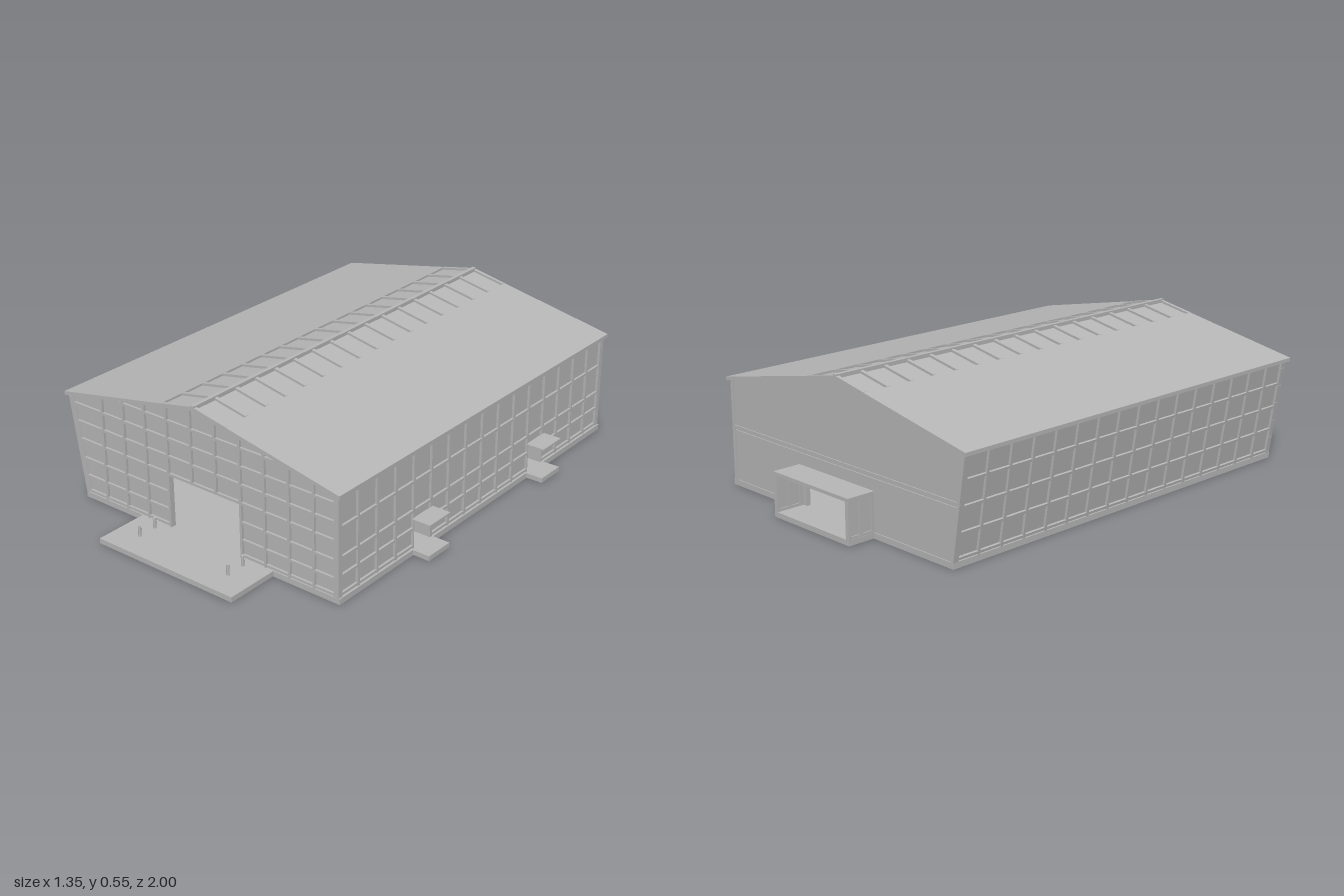
import * as THREE from 'three';

const RIDGE = -0.03, FRONT = 0.786, BACK = -0.89, FLOOR = 0.022;
const roofY = x => 0.541 - 0.196 * Math.abs(x - RIDGE);
const leftX = y => -0.6 - 0.06 * (y - FLOOR) / 0.38;

export function createModel() {
  const model = new THREE.Group();
  const grey = new THREE.MeshStandardMaterial({ color: 0xb8b8b8 });
  grey.name = 'plain grey';

  const group = (name, parent = model) => {
    const g = new THREE.Group();
    g.name = name;
    parent.add(g);
    return g;
  };
  // Box given by its extents on each axis
  const box = (name, x0, x1, y0, y1, z0, z1, parent = model) => {
    const m = new THREE.Mesh(new THREE.BoxGeometry(x1 - x0, y1 - y0, z1 - z0), grey);
    m.position.set((x0 + x1) / 2, (y0 + y1) / 2, (z0 + z1) / 2);
    m.name = name;
    parent.add(m);
    return m;
  };
  const shapeOf = pts => new THREE.Shape(pts.map(p => new THREE.Vector2(...p)));
  const rect = (x0, x1, y0, y1) => [[x0, y0], [x1, y0], [x1, y1], [x0, y1]];
  // Outline in x/y, extruded from z0 to z1
  const prism = (name, pts, z0, z1, parent = model, holes = []) => {
    const s = shapeOf(pts);
    holes.forEach(h => s.holes.push(new THREE.Path(h.map(p => new THREE.Vector2(...p)))));
    const geo = new THREE.ExtrudeGeometry(s, { depth: z1 - z0, bevelEnabled: false });
    geo.translate(0, 0, z0);
    const m = new THREE.Mesh(geo, grey);
    m.name = name;
    parent.add(m);
    return m;
  };

  // Ground slabs
  box('floorSlab', -0.6, 0.605, 0, FLOOR, BACK, FRONT);
  box('frontApron', -0.31, 0.315, 0.002, FLOOR, FRONT, 1);
  for (const x of [-0.21, 0.21]) for (const z of [0.825, 0.9]) {
    const b = new THREE.Mesh(new THREE.CylinderGeometry(0.006, 0.006, 0.042, 10), grey);
    b.position.set(x, FLOOR + 0.02, z);
    b.name = 'bollard';
    model.add(b);
  }

  // Gable end outline, with a doorway cut up from the floor
  const gable = (doorTop, inset = 0) => [
    [leftX(FLOOR) + inset, FLOOR], [-0.17, FLOOR], [-0.17, doorTop], [0.17, doorTop], [0.17, FLOOR],
    [0.6 - inset, FLOOR], [0.6 - inset, roofY(0.6) - 0.01], [RIDGE, roofY(RIDGE) - 0.01],
    [leftX(0.402) + inset, roofY(leftX(0.402)) - 0.01],
  ];

  // Front facade: glazing and a grid of bars
  const front = group('frontFacade');
  prism('frontGlazing', gable(0.23), FRONT - 0.016, FRONT - 0.01, front);
  const bar = 0.005, zf0 = FRONT - 0.022, zf1 = FRONT;
  const columns = [];
  for (let i = 1; i <= 4; i++) columns.push(-0.6 + i * 0.1075, 0.6 - i * 0.1075);
  columns.push(-0.0567, 0.0567, 0.595);
  for (const x of columns) {
    const low = Math.abs(x) < 0.165 ? 0.23 : FLOOR;
    box('frontMullion', x - bar, x + bar, low, roofY(x) - 0.012, zf0, zf1, front);
  }
  prism('frontCornerMullion', [[-0.6, FLOOR], [-0.59, FLOOR], [leftX(0.4) + 0.01, 0.4], [leftX(0.4), 0.4]],
    zf0, zf1, front);
  for (const y of [0.03, 0.09, 0.16, 0.235, 0.305, 0.375, 0.445]) {
    const reach = (0.531 - y) / 0.196;
    const x0 = Math.max(leftX(y), RIDGE - reach), x1 = Math.min(0.6, RIDGE + reach);
    const spans = y < 0.23 ? [[x0, -0.17], [0.17, x1]] : [[x0, x1]];
    for (const [a, b] of spans) box('frontRail', a, b, y - bar, y + bar, zf0, zf1 - 0.001, front);
  }

  // Rear wall with a horizontal band and corner posts
  const rear = group('rearWall');
  prism('rearPanel', gable(0.16, 0.004), BACK + 0.004, BACK + 0.02, rear);
  for (const y of [0.212, 0.23])
    box('rearBand', leftX(y), 0.6, y - 0.004, y + 0.004, BACK, BACK + 0.005, rear);
  box('rearCornerPost', 0.585, 0.6, FLOOR, 0.405, BACK, BACK + 0.022, rear);
  prism('rearCornerPost', [[-0.6, FLOOR], [-0.588, FLOOR], [leftX(0.4) + 0.012, 0.4], [leftX(0.4), 0.4]],
    BACK, BACK + 0.022, rear);

  // Long walls: bays of equal width between the two ends
  const bays = 16, z0 = BACK + 0.01, z1 = FRONT - 0.006;
  const bayZ = i => z0 + (z1 - z0) * i / bays;
  const doors = [[0.268, 0.364], [-0.462, -0.366]], doorTop = 0.13;

  // Sloping left wall
  const left = group('leftWall');
  left.position.set(-0.6, FLOOR, 0);
  left.rotation.z = Math.atan(0.06 / 0.38);
  box('leftGlazing', 0.01, 0.016, 0, 0.388, z0, z1, left);
  for (let i = 0; i <= bays; i++)
    box('leftMullion', 0, 0.022, 0, 0.388, bayZ(i) - bar, bayZ(i) + bar, left);
  for (const y of [0.008, 0.1, 0.195, 0.29, 0.38])
    box('leftRail', 0.001, 0.021, y - bar, y + bar, z0, z1, left);

  // Upright right wall with two recessed doors
  const right = group('rightWall');
  const notch = doors.flatMap(([a, b]) => [[-b, FLOOR], [-b, doorTop], [-a, doorTop], [-a, FLOOR]]);
  const glazing = prism('rightGlazing',
    [[-z1, FLOOR], ...notch, [-z0, FLOOR], [-z0, 0.405], [-z1, 0.405]], 0, 0.006, right);
  glazing.rotation.y = Math.PI / 2;
  glazing.position.x = 0.584;
  for (let i = 0; i <= bays; i++) {
    const z = bayZ(i), atDoor = doors.some(([a, b]) => z > a - bar && z < b + bar);
    box('rightMullion', 0.578, 0.6, atDoor ? doorTop : FLOOR, 0.405, z - bar, z + bar, right);
  }
  const gaps = [z0, ...doors[1], ...doors[0], z1];
  for (const y of [0.03, 0.1])
    for (let i = 0; i < 6; i += 2)
      box('rightRail', 0.579, 0.599, y - bar, y + bar, gaps[i], gaps[i + 1], right);
  for (const y of [0.17, 0.285, 0.395])
    box('rightRail', 0.579, 0.599, y - bar, y + bar, z0, z1, right);

  for (const [a, b] of doors) {
    const d = group('sideEntrance');
    box('doorLeaf', 0.525, 0.532, FLOOR, doorTop, a, b, d);
    box('recessSide', 0.525, 0.6, FLOOR, doorTop + 0.004, a - 0.005, a, d);
    box('recessSide', 0.525, 0.6, FLOOR, doorTop + 0.004, b, b + 0.005, d);
    box('recessTop', 0.525, 0.6, doorTop, doorTop + 0.006, a, b, d);
    box('canopy', 0.6, 0.675, 0.137, 0.144, a - 0.013, b + 0.013, d);
    box('step', 0.605, 0.675, 0.003, FLOOR, a - 0.013, b + 0.013, d);
  }

  // Roof: two slopes, with a recessed rooflight strip along the ridge
  const roof = group('roof');
  const zr0 = -0.902, zr1 = 0.793, strip = 0.15;
  const slope = (xa, xb, top, bottom) => [
    [xa, roofY(xa) + bottom], [xb, roofY(xb) + bottom], [xb, roofY(xb) + top], [xa, roofY(xa) + top]];
  const chevron = (top, bottom) => {
    const xs = [RIDGE - strip, RIDGE, RIDGE + strip];
    return [...xs.map(x => [x, roofY(x) + bottom]), ...xs.reverse().map(x => [x, roofY(x) + top])];
  };
  prism('leftSlope', slope(-0.675, RIDGE - strip, 0, -0.014), zr0, zr1, roof);
  prism('rightSlope', slope(RIDGE + strip, 0.61, 0, -0.014), zr0, zr1, roof);
  prism('rooflightGlazing', chevron(-0.008, -0.013), zr0 + 0.004, zr1 - 0.004, roof);
  for (let i = 0; i <= bays; i++) {
    const z = zr0 + 0.007 + (zr1 - zr0 - 0.014) * i / bays;
    prism('rooflightBar', chevron(0.001, -0.015), z - 0.007, z + 0.007, roof);
  }
  box('ridgeCap', RIDGE - 0.008, RIDGE + 0.008, 0.528, 0.546, zr0, zr1, roof);

  // Open rear porch with glazed sides
  const porch = group('rearPorch');
  const pz = -1, pw = 0.205;
  box('porchFloor', -pw, pw, 0.002, FLOOR, pz, BACK, porch);
  box('porchRoof', -pw, pw, 0.157, 0.17, pz, BACK + 0.006, porch);
  for (const s of [-1, 1]) {
    const x = s * (pw - 0.008);
    box('porchSideGlazing', x - 0.003, x + 0.003, FLOOR, 0.157, pz + 0.005, BACK + 0.005, porch);
    for (const z of [pz + 0.006, (pz + BACK) / 2, BACK - 0.004])
      box('porchPost', x - 0.008, x + 0.008, FLOOR, 0.157, z - 0.006, z + 0.006, porch);
    for (const y of [FLOOR + 0.005, 0.152])
      box('porchRail', x - 0.007, x + 0.007, y - bar, y + bar, pz + 0.002, BACK, porch);
  }
  return model;
}
